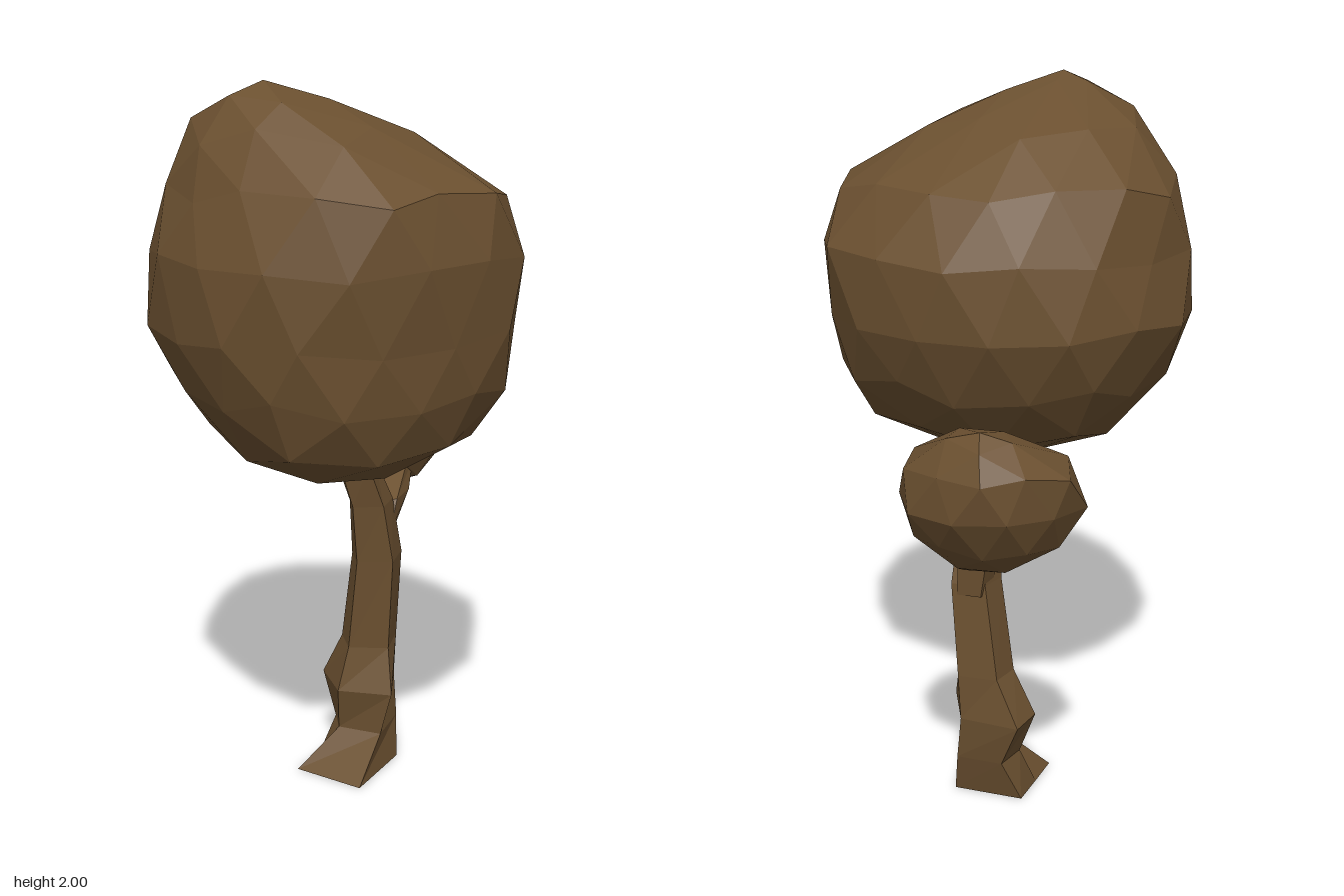
import * as THREE from 'three';

const bark = new THREE.MeshStandardMaterial({ color: 0x6b5030, flatShading: true, roughness: 1 });

// Extents [y, xMin, xMax, zMin, zMax] from bottom to top
const crownLevels = [
  [0.95, 0.1, 0.1, 0.1, 0.1],
  [1.01, -0.19, 0.38, -0.16, 0.35],
  [1.17, -0.35, 0.46, -0.31, 0.46],
  [1.41, -0.44, 0.49, -0.4, 0.55],
  [1.58, -0.41, 0.51, -0.4, 0.53],
  [1.72, -0.38, 0.51, -0.34, 0.49],
  [1.86, -0.27, 0.34, -0.15, 0.44],
  [1.95, -0.1, 0.17, 0.08, 0.41],
  [2.0, 0.04, 0.04, 0.27, 0.27],
];
const sideCrownLevels = [
  [0.79, -0.2, -0.2, -0.35, -0.35],
  [0.84, -0.41, -0.08, -0.44, -0.18],
  [0.98, -0.49, -0.06, -0.54, -0.13],
  [1.07, -0.52, -0.07, -0.55, -0.15],
  [1.17, -0.47, -0.14, -0.52, -0.26],
  [1.22, -0.36, -0.36, -0.45, -0.45],
];
const trunkLevels = [
  [0, -0.17, 0.11, -0.19, 0.1],
  [0.12, -0.14, 0.06, -0.21, -0.02],
  [0.25, -0.2, 0.09, -0.215, 0],
  [0.38, -0.13, 0.05, -0.215, -0.035],
  [0.65, -0.085, 0.065, -0.21, -0.045],
  [0.82, -0.06, 0.06, -0.17, -0.025],
  [0.95, -0.07, 0.055, -0.11, 0.015],
  [1.02, -0.08, 0.06, -0.1, 0.03],
];
const branchLevels = [
  [0.62, -0.08, 0.03, -0.205, -0.1],
  [0.73, -0.1, 0.03, -0.21, -0.08],
  [0.81, -0.135, 0, -0.28, -0.1],
  [0.87, -0.19, -0.09, -0.35, -0.23],
];

// Limb outlines: the foot is a turned square, the wood above twists round
const footSection = [[1, 0.45], [-0.43, 1], [-0.72, 0.3], [-1, -0.4], [0.28, -1]];
const ankleSection = [[1, 0.25], [-0.1, 1], [-0.8, 0.6], [-1, -0.4], [0.2, -1]];
const woodSection = [[1, 0], [0.2, 1], [-0.8, 0.55], [-1, -0.4], [0.1, -1]];

function extentsAt(levels, y) {
  let i = 0;
  while (i < levels.length - 2 && y > levels[i + 1][0]) i++;
  const [a, b] = [levels[i], levels[i + 1]];
  const t = THREE.MathUtils.clamp((y - a[0]) / (b[0] - a[0]), 0, 1);
  return a.map((v, k) => v + (b[k] - v) * t);
}

// Repeatable noise, equal for coincident corners
function noise(x, y, z, seed) {
  const s = Math.sin(Math.round(x * 500) * 12.99 + Math.round(y * 500) * 78.23 + Math.round(z * 500) * 37.72 + seed) * 4375.85;
  return (s - Math.floor(s)) * 2 - 1;
}

// Faceted foliage: an icosphere fitted to the extents and roughened.
// corners: [swelling, sag] towards (+x+z), (+x-z), (-x+z), (-x-z)
function foliage(name, levels, detail, jitter, corners) {
  const geo = new THREE.IcosahedronGeometry(1, detail);
  geo.rotateX(-Math.atan((1 + Math.sqrt(5)) / 2)); // put a corner at the top
  const p = geo.attributes.position;
  const y0 = levels[0][0], y1 = levels[levels.length - 1][0];
  for (let i = 0; i < p.count; i++) {
    const x = p.getX(i), y = p.getY(i), z = p.getZ(i);
    const h = Math.hypot(x, z);
    const c = h > 1e-4 ? x / h : 0, s = h > 1e-4 ? z / h : 0;
    const rough = h > 0.3 ? jitter : 0;
    const py = y0 + (y1 - y0) * (y + 1) / 2 + noise(x, y, z, 1) * rough;
    const [, xa, xb, za, zb] = extentsAt(levels, py);
    const [swelling, sag] = corners[(c < 0 ? 2 : 0) + (s < 0 ? 1 : 0)];
    const r = 1.01 + Math.abs(2 * s * c) * (swelling - sag * y) + noise(x, y, z, 2) * rough * 2;
    p.setXYZ(i, (xa + xb) / 2 + (xb - xa) / 2 * c * r, py, (za + zb) / 2 + (zb - za) / 2 * s * r);
  }
  geo.computeVertexNormals();
  const mesh = new THREE.Mesh(geo, bark);
  mesh.name = name;
  return mesh;
}

// Five-sided limb lofted through the extents, with closed ends
function limb(name, levels) {
  const n = woodSection.length, pos = [], index = [];
  for (const [y, xa, xb, za, zb] of levels) {
    const section = y < 0.1 ? footSection : y < 0.2 ? ankleSection : woodSection;
    for (const [u, v] of section)
      pos.push((xa + xb) / 2 + (xb - xa) / 2 * u, y, (za + zb) / 2 + (zb - za) / 2 * v);
  }
  for (let i = 0; i < levels.length - 1; i++)
    for (let j = 0; j < n; j++) {
      const a = i * n + j, b = i * n + (j + 1) % n;
      index.push(a, a + n, b, b, a + n, b + n);
    }
  const top = (levels.length - 1) * n;
  for (let j = 1; j < n - 1; j++) index.push(0, j, j + 1, top, top + j + 1, top + j);
  const geo = new THREE.BufferGeometry();
  geo.setAttribute('position', new THREE.Float32BufferAttribute(pos, 3));
  geo.setIndex(index);
  const flat = geo.toNonIndexed();
  flat.computeVertexNormals();
  const mesh = new THREE.Mesh(flat, bark);
  mesh.name = name;
  return mesh;
}

export function createModel() {
  const tree = new THREE.Group();
  tree.name = 'tree';
  tree.add(
    limb('trunk', trunkLevels),
    limb('branch', branchLevels),
    foliage('mainCrown', crownLevels, 2, 0.016, [[0.07, 0.06], [0.09, 0.11], [0.05, -0.02], [-0.01, 0.1]]),
    foliage('sideCrown', sideCrownLevels, 1, 0.008, [[0.02, 0], [0.1, 0], [0.17, 0], [0.02, 0]]),
  );
  return tree;
}
